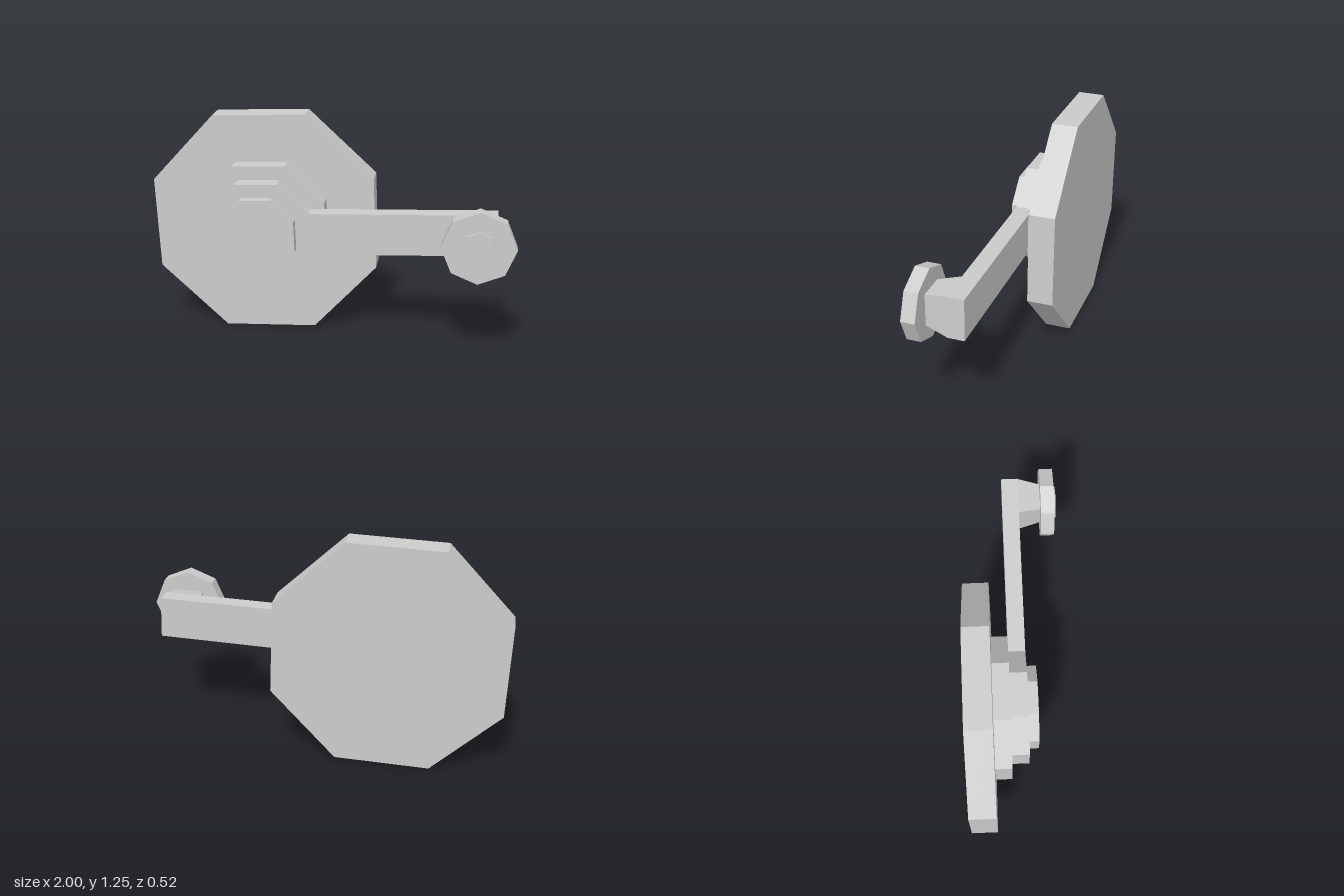
import * as THREE from 'three';

const material = new THREE.MeshStandardMaterial({ color: 0xcccccc, flatShading: true });
const TILT = THREE.MathUtils.degToRad(2.3);
const HUB = [-0.375, 0.63];
const KNOB = [0.803, 0.675];

// Corners of an octagon, counter-clockwise from the given angle
function octagon([cx, cy], radius, start) {
  return Array.from({ length: 8 }, (_, i) => {
    const a = start + (i * Math.PI) / 4;
    return new THREE.Vector2(cx + radius * Math.cos(a), cy + radius * Math.sin(a));
  });
}

// Flat slab with the given outline between two depths
function slab(name, points, z0, z1) {
  const geometry = new THREE.ExtrudeGeometry(new THREE.Shape(points), { depth: z1 - z0, bevelEnabled: false });
  geometry.translate(0, 0, z0);
  const mesh = new THREE.Mesh(geometry, material);
  mesh.name = name;
  return mesh;
}

export function createModel() {
  const group = new THREE.Group();
  group.name = 'crankHandle';
  const hubStart = Math.PI / 8 + TILT;

  // Stepped octagonal base
  group.add(slab('backPlate', octagon(HUB, 0.664, hubStart), -0.262, -0.123));
  group.add(slab('middleStep', octagon(HUB, 0.38, hubStart), -0.123, -0.035));

  // Hub and arm in one piece: the arm grows out of the hub's right-hand side
  const outline = octagon(HUB, 0.299, hubStart);
  outline.push(new THREE.Vector2(0.906, 0.568), new THREE.Vector2(0.896, 0.793));
  group.add(slab('hubAndArm', outline, -0.035, 0.056));
  group.add(slab('hubCap', octagon(HUB, 0.22, hubStart), 0.056, 0.109));

  // Tapered four-sided neck between arm and knob
  const neckGeometry = new THREE.BoxGeometry(0.2, 0.225, 0.12);
  const p = neckGeometry.attributes.position;
  for (let i = 0; i < p.count; i++) {
    if (p.getZ(i) > 0) p.setXY(i, p.getX(i) * 0.76, p.getY(i) * 0.76);
  }
  neckGeometry.computeVertexNormals();
  const neck = new THREE.Mesh(neckGeometry, material);
  neck.name = 'knobNeck';
  neck.position.set(0.799, 0.676, 0.116);
  neck.rotation.z = TILT;
  group.add(neck);

  // Octagonal knob with a small raised centre
  group.add(slab('knob', octagon(KNOB, 0.194, 0), 0.175, 0.249));
  group.add(slab('knobCentre', octagon(KNOB, 0.092, 0), 0.249, 0.262));

  return group;
}
